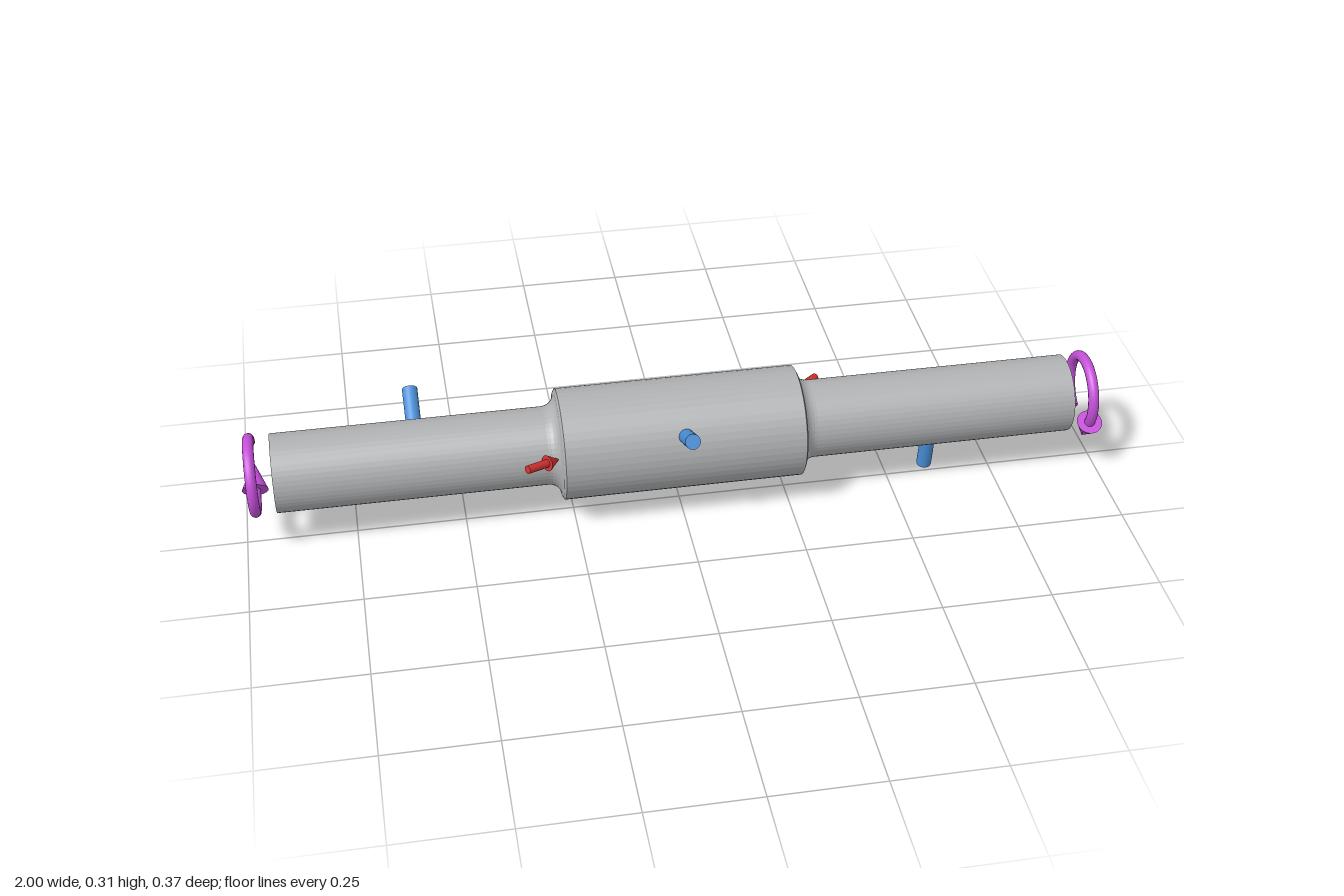
import * as THREE from 'three';

const AXIS_Y = 0.18, AXIS_Z = -0.01;
const UP = new THREE.Vector3(0, 1, 0);

export function createModel() {
  const model = new THREE.Group();
  model.name = 'steppedShaft';

  const material = (name, color, extra = {}) =>
    Object.assign(new THREE.MeshStandardMaterial({ color, ...extra }), { name });
  const grey = material('shaftGrey', 0xafb1b3, { flatShading: true });
  const blue = material('rodBlue', 0x4a90d9);
  const red = material('arrowRed', 0xd03030);
  const purple = material('ringPurple', 0xc44fd8);

  const add = (parent, name, geometry, mat) => {
    const mesh = new THREE.Mesh(geometry, mat);
    mesh.name = name;
    parent.add(mesh);
    return mesh;
  };

  // Cylinder or cone running from point a to point b
  const between = (parent, name, a, b, r0, r1, mat, sides = 24) => {
    const dir = b.clone().sub(a);
    const mesh = add(parent, name, new THREE.CylinderGeometry(r1, r0, dir.length(), sides), mat);
    mesh.position.copy(a).add(b).multiplyScalar(0.5);
    mesh.quaternion.setFromUnitVectors(UP, dir.normalize());
    return mesh;
  };

  // Shaft with a thicker middle and filleted shoulders
  const half = [[0, 0.923], [0.09, 0.923]];
  for (let i = 0; i <= 6; i++) {
    const a = (i / 6) * Math.PI / 2;
    half.push([0.12 - 0.03 * Math.cos(a), 0.31 - 0.03 * Math.sin(a)]);
  }
  half.push([0.128, 0.276]);
  const profile = [
    ...half.map(([r, x]) => new THREE.Vector2(r, -x)),
    ...half.reverse().map(([r, x]) => new THREE.Vector2(r, x)),
  ];
  const shaft = add(model, 'shaft', new THREE.LatheGeometry(profile, 48), grey);
  shaft.rotation.z = -Math.PI / 2;
  shaft.position.set(0, AXIS_Y, AXIS_Z);

  // Rods: x, tip y, tip z, direction in degrees (0 = back, 90 = up)
  const rods = [
    ['middleRod', 0, 0.284, 0.178, 152.5],
    ['rightRod', -0.6, 0.271, -0.159, 30],
    ['leftRod', 0.6, 0.0045, -0.026, -80],
  ];
  for (const [name, x, y, z, degrees] of rods) {
    const a = THREE.MathUtils.degToRad(degrees);
    const tip = new THREE.Vector3(x, y, z);
    const base = tip.clone().addScaledVector(new THREE.Vector3(0, Math.sin(a), -Math.cos(a)), -0.1);
    between(model, name, base, tip, 0.0175, 0.0175, blue);
  }

  // Small straight arrows aimed at the shoulders
  const arrows = [
    ['rightShoulderArrow', [-0.364, 0.22, 0.131], [-0.288, 0.205, 0.083]],
    ['leftShoulderArrow', [0.362, 0.178, -0.178], [0.295, 0.181, -0.12]],
  ];
  for (const [name, from, to] of arrows) {
    const group = new THREE.Group();
    group.name = name;
    const tail = new THREE.Vector3(...from), tip = new THREE.Vector3(...to);
    const neck = tail.clone().lerp(tip, 0.62);
    between(group, 'arrowStem', tail, neck, 0.0095, 0.0095, red, 16);
    between(group, 'arrowHead', neck, tip, 0.019, 0, red, 12);
    model.add(group);
  }

  // Curved arrows around both ends, three quarters of a turn each
  const R = 0.083, TUBE = 0.0125, ARC = Math.PI * 1.5;
  const ringArrow = (name, x, startDegrees) => {
    const group = new THREE.Group();
    group.name = name;
    group.position.set(x, AXIS_Y, AXIS_Z);
    group.rotation.y = Math.PI / 2;
    const turn = new THREE.Group();
    turn.name = 'ringTurn';
    turn.rotation.z = THREE.MathUtils.degToRad(startDegrees);
    group.add(turn);
    add(turn, 'ringTube', new THREE.TorusGeometry(R, TUBE, 16, 48, ARC), purple);
    const cap = add(turn, 'ringEnd', new THREE.CircleGeometry(TUBE, 16), purple);
    cap.rotation.x = Math.PI / 2;
    cap.position.x = R;
    between(turn, 'ringHead', new THREE.Vector3(0, -R, 0), new THREE.Vector3(0.073, -R, 0), 0.03, 0, purple);
    model.add(group);
  };
  ringArrow('leftRingArrow', 0.97, -60);
  ringArrow('rightRingArrow', -0.97, 30);

  return model;
}
